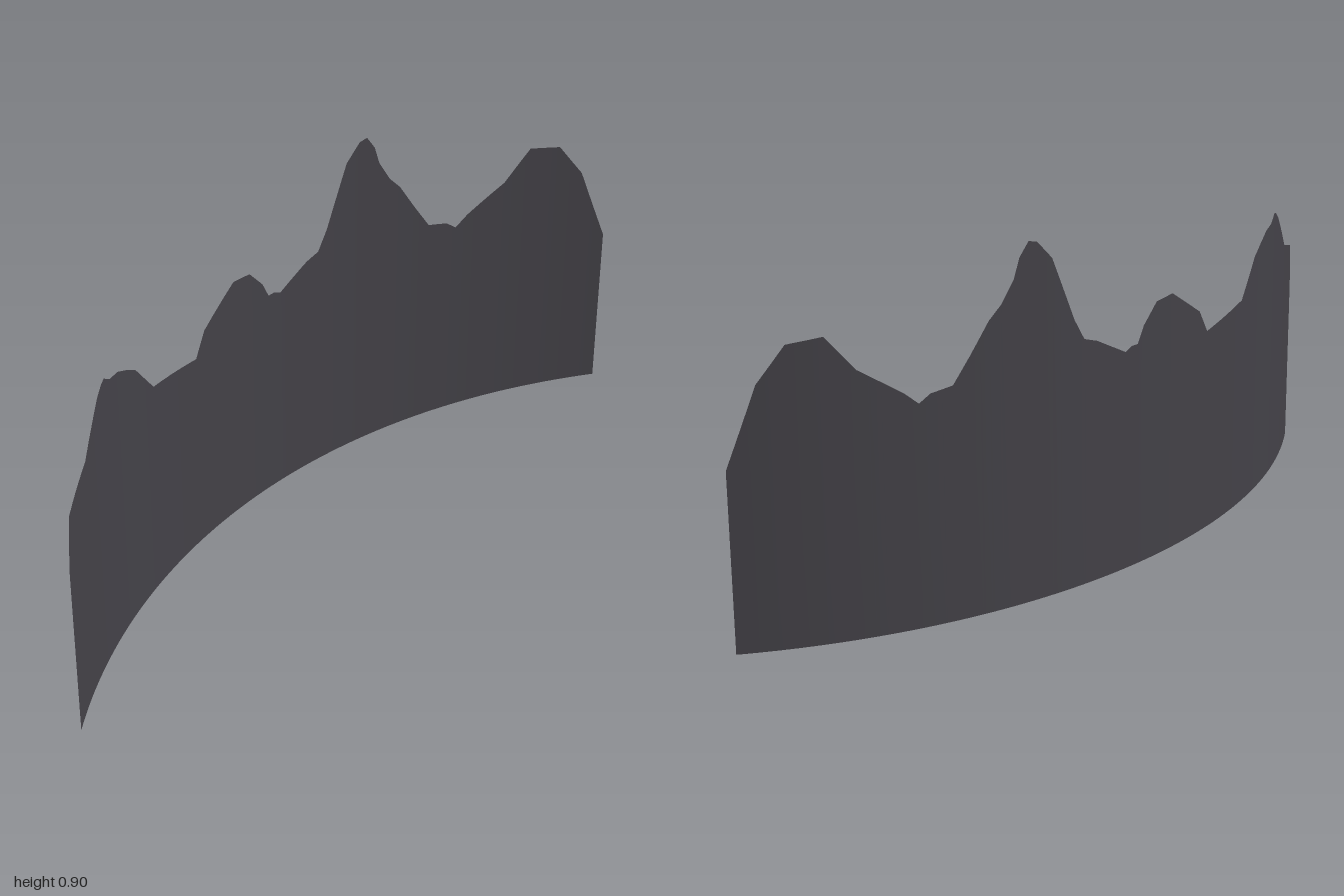
import * as THREE from 'three';

// Ridge line: [x, height] from one end of the sheet to the other
const RIDGE = [
  [-1, 0.455], [-0.975, 0.572], [-0.85, 0.613], [-0.76, 0.717], [-0.735, 0.735], [-0.72, 0.739],
  [-0.69, 0.718], [-0.65, 0.711], [-0.61, 0.69], [-0.565, 0.663], [-0.485, 0.568], [-0.297, 0.538],
  [-0.26, 0.599], [-0.14, 0.676], [-0.078, 0.67], [-0.03, 0.62], [-0.008, 0.578], [0.013, 0.578],
  [0.035, 0.568], [0.13, 0.618], [0.17, 0.631], [0.2, 0.684], [0.265, 0.847], [0.307, 0.893],
  [0.33, 0.898], [0.355, 0.863], [0.37, 0.815], [0.404, 0.76], [0.436, 0.727], [0.484, 0.652],
  [0.527, 0.588], [0.58, 0.578], [0.607, 0.558], [0.64, 0.588], [0.74, 0.658], [0.805, 0.744],
  [0.88, 0.734], [0.938, 0.647], [1, 0.45],
];
const DEPTH = 0.317;                          // how far the ends curve forward
const RADIUS = (1 + DEPTH * DEPTH) / (2 * DEPTH);

export function createModel() {
  const slate = new THREE.MeshStandardMaterial({ color: 0x434147, side: THREE.DoubleSide });
  slate.name = 'dark slate';

  // Columns at every ridge point, with long spans subdivided to follow the arc
  const columns = [RIDGE[0]];
  for (let i = 1; i < RIDGE.length; i++) {
    const [x0, y0] = RIDGE[i - 1], [x1, y1] = RIDGE[i];
    const steps = Math.ceil((x1 - x0) / 0.03);
    for (let s = 1; s <= steps; s++) {
      const t = s / steps;
      columns.push([x0 + (x1 - x0) * t, y0 + (y1 - y0) * t]);
    }
  }

  // Bend the upright sheet around a circle centred in front of it
  const positions = [], normals = [], indices = [];
  columns.forEach(([x, top], i) => {
    const reach = Math.sqrt(RADIUS * RADIUS - x * x);
    const z = RADIUS - reach - DEPTH / 2;
    positions.push(x, 0, z, x, top, z);
    for (let k = 0; k < 2; k++) normals.push(-x / RADIUS, 0, reach / RADIUS);
    if (i > 0) {
      const b = i * 2, a = b - 2;
      indices.push(a, b, b + 1, a, b + 1, a + 1);
    }
  });
  const geometry = new THREE.BufferGeometry();
  geometry.setAttribute('position', new THREE.Float32BufferAttribute(positions, 3));
  geometry.setAttribute('normal', new THREE.Float32BufferAttribute(normals, 3));
  geometry.setIndex(indices);

  const ridge = new THREE.Mesh(geometry, slate);
  ridge.name = 'mountainRidge';
  const group = new THREE.Group();
  group.name = 'mountainBackdrop';
  group.add(ridge);
  return group;
}
